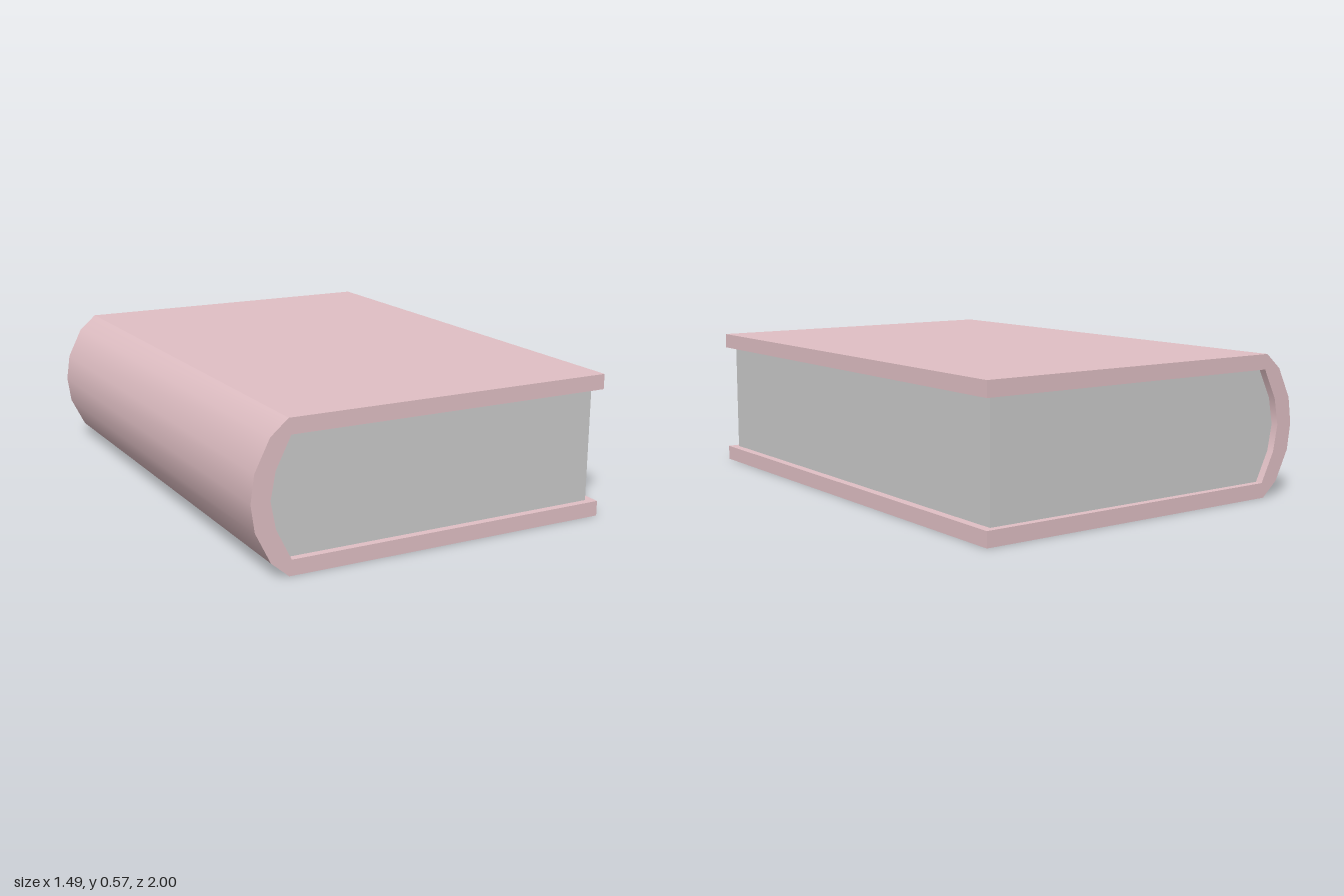
import * as THREE from 'three';
import { toCreasedNormals } from 'three/addons/utils/BufferGeometryUtils.js';

const HEIGHT = 0.57, BOARD = 0.06;

// Lower half of the rounded spine, from the board edge up to the middle
const OUTER = [[-0.6, 0], [-0.67, 0.06], [-0.73, 0.18], [-0.745, 0.285]];
const INNER = [[-0.59, BOARD], [-0.65, 0.18], [-0.67, 0.285]];

// Completes a half curve by mirroring it about mid-height
function fullCurve(half) {
  const upper = half.slice(0, -1).reverse().map(([x, y]) => [x, HEIGHT - y]);
  return [...half, ...upper];
}

// Extrudes a closed outline along z, centred, with smooth shallow bends
function extrudeOutline(name, points, depth, color) {
  const shape = new THREE.Shape(points.map(([x, y]) => new THREE.Vector2(x, y)));
  const geometry = new THREE.ExtrudeGeometry(shape, { depth, bevelEnabled: false });
  geometry.translate(0, 0, -depth / 2);
  const mesh = new THREE.Mesh(
    toCreasedNormals(geometry, 0.6),
    new THREE.MeshStandardMaterial({ color })
  );
  mesh.name = name;
  return mesh;
}

export function createModel() {
  const book = new THREE.Group();
  book.name = 'book';

  const outer = fullCurve(OUTER), inner = fullCurve(INNER);
  const edge = 0.745, pageEdge = 0.71;

  // Two boards and the spine in one wrapped section
  book.add(extrudeOutline('cover', [
    [edge, 0], ...outer, [edge, HEIGHT], [edge, HEIGHT - BOARD],
    ...inner.slice().reverse(), [edge, BOARD],
  ], 2, 0xe1c0c5));

  // Page block, set in from the cover on three sides
  book.add(extrudeOutline('pages', [
    [pageEdge, BOARD], ...inner, [pageEdge, HEIGHT - BOARD],
  ], 1.94, 0xcccccc));

  return book;
}
